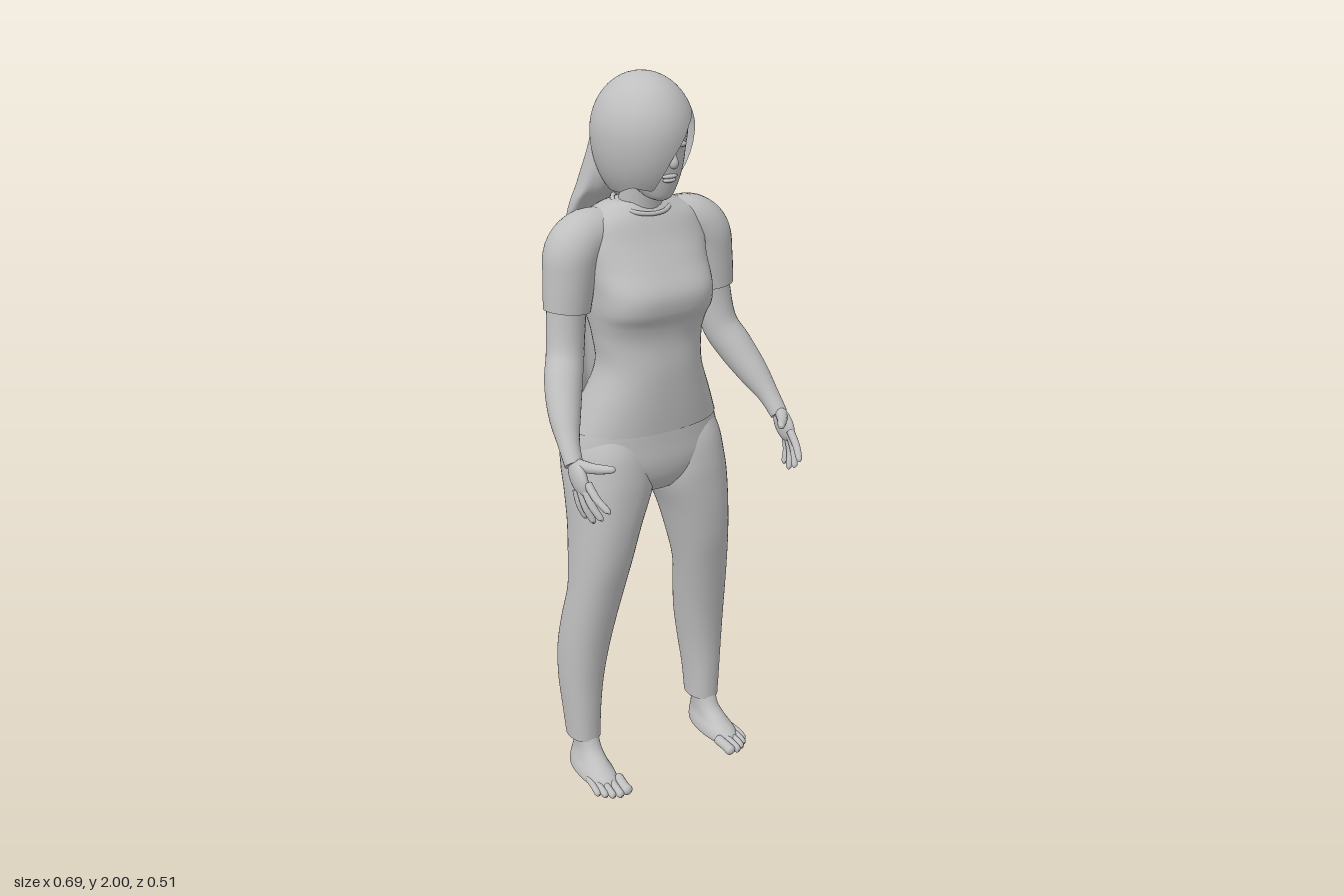
import * as THREE from 'three';

const grey = new THREE.MeshStandardMaterial({ color: 0xbfbfbf, side: THREE.DoubleSide });
grey.name = 'plainGrey';

// Skin over closed rings of points, with a flat cap on each end if wanted
function skin(rows, capped = true) {
  const n = rows[0].length, pos = [], index = [];
  rows.forEach(r => r.forEach(p => pos.push(p.x, p.y, p.z)));
  for (let i = 0; i < rows.length - 1; i++) {
    for (let j = 0; j < n; j++) {
      const k = (j + 1) % n, a = i * n + j, b = i * n + k;
      index.push(a, b, b + n, a, b + n, a + n);
    }
  }
  if (capped) {
    [rows[0], rows[rows.length - 1]].forEach((row, end) => {
      const base = pos.length / 3;
      const mid = row.reduce((s, p) => s.add(p), new THREE.Vector3()).divideScalar(n);
      row.forEach(p => pos.push(p.x, p.y, p.z));
      pos.push(mid.x, mid.y, mid.z);
      for (let j = 0; j < n; j++) {
        const a = base + j, b = base + (j + 1) % n;
        if (end) index.push(a, b, base + n); else index.push(b, a, base + n);
      }
    });
  }
  const g = new THREE.BufferGeometry();
  g.setAttribute('position', new THREE.Float32BufferAttribute(pos, 3));
  g.setIndex(index);
  g.computeVertexNormals();
  return g;
}

// Smooth blend through key rows of numbers
function blend(keys, steps) {
  const out = [], last = keys.length - 1;
  for (let i = 0; i < last; i++) {
    for (let s = 0; s < steps; s++) {
      const t = s / steps;
      out.push(keys[i].map((b, c) => {
        const a = keys[Math.max(i - 1, 0)][c], d = keys[i + 1][c], e = keys[Math.min(i + 2, last)][c];
        return b + 0.5 * t * (d - a + t * (2 * a - 5 * b + 4 * d - e + t * (3 * (b - d) + e - a)));
      }));
    }
  }
  out.push(keys[last]);
  return out;
}

// Level sections, bottom to top: [y, xMin, xMax, zFront, zBack, squareness]
function loft(keys, n = 48, steps = 5) {
  const pow = (v, e) => Math.sign(v) * Math.abs(v) ** e;
  return skin(blend(keys, steps).map(([y, x0, x1, zf, zb, p]) =>
    Array.from({ length: n }, (_, j) => {
      const a = j / n * Math.PI * 2;
      return new THREE.Vector3(
        (x0 + x1) / 2 + (x1 - x0) / 2 * pow(Math.sin(a), 2 / p), y,
        (zf + zb) / 2 + (zf - zb) / 2 * pow(Math.cos(a), 2 / p));
    })));
}

// Symmetric section: [y, halfWidth, zFront, zBack, squareness]
const even = keys => keys.map(([y, r, zf, zb, p = 2.3]) => [y, -r, r, zf, zb, p]);
// Side section: [y, xInner, xOuter, zFront, zBack, squareness]
const sided = (keys, s) => keys.map(([y, a, b, zf, zb, p = 2.2]) =>
  [y, Math.min(a * s, b * s), Math.max(a * s, b * s), zf, zb, p]);

// Round limb through points [x, y, z, radius]
function limb(keys, s = 1, n = 24, steps = 6) {
  const rows = blend(keys.map(([x, y, z, r]) => [x * s, y, z, r]), steps);
  const pts = rows.map(r => new THREE.Vector3(r[0], r[1], r[2]));
  const side = new THREE.Vector3(1, 0, 0);
  return skin(pts.map((p, i) => {
    const t = pts[Math.min(i + 1, pts.length - 1)].clone().sub(pts[Math.max(i - 1, 0)]).normalize();
    const u = side.clone().addScaledVector(t, -side.dot(t)).normalize();
    const v = t.clone().cross(u);
    return Array.from({ length: n }, (_, j) => {
      const a = j / n * Math.PI * 2, r = rows[i][3];
      return p.clone().addScaledVector(u, r * Math.cos(a)).addScaledVector(v, r * Math.sin(a));
    });
  }));
}

// Hair cap whose lower edge follows a swept fringe: [degrees from front toward left, edge height]
function hairCap() {
  const edge = [[-180, 1.7], [-75, 1.71], [-50, 1.73], [-20, 1.72], [0, 1.81], [25, 1.88],
    [48, 1.91], [62, 1.86], [78, 1.74], [92, 1.7], [180, 1.7]];
  const n = 96, m = 24;
  const rows = Array.from({ length: m + 1 }, (_, i) => Array.from({ length: n }, (_, j) => {
    const deg = -180 + 360 * j / n;
    const k = edge.findIndex(e => e[0] > deg), [d0, y0] = edge[k - 1], [d1, y1] = edge[k];
    const low = y0 + (y1 - y0) * (deg - d0) / (d1 - d0) - 1.85;
    const th = Math.acos(low / (low > 0 ? 0.15 : 0.19)) * (1 - i / m);
    const c = Math.cos(th), r = Math.sin(th), a = deg * Math.PI / 180;
    return new THREE.Vector3(-0.01 + 0.128 * r * Math.sin(a), 1.85 + c * (c > 0 ? 0.15 : 0.19),
      -0.05 + 0.147 * r * Math.cos(a));
  }));
  return skin(rows, false);
}

export function createModel() {
  const model = new THREE.Group();
  model.name = 'standingFigure';
  const add = (name, geo) => {
    const mesh = new THREE.Mesh(geo, grey);
    mesh.name = name;
    model.add(mesh);
    return mesh;
  };
  const blob = (name, p, r) => {
    const m = add(name, new THREE.SphereGeometry(1, 24, 16));
    m.position.set(...p);
    m.scale.set(...r);
    return m;
  };

  // Shirt body and collar
  add('shirt', loft(even([
    [1.07, 0.214, 0.066, -0.217], [1.14, 0.185, 0.071, -0.187], [1.24, 0.147, 0.074, -0.156],
    [1.32, 0.15, 0.07, -0.165], [1.37, 0.157, 0.077, -0.176, 2.6], [1.41, 0.163, 0.092, -0.187, 3],
    [1.46, 0.166, 0.092, -0.195, 2.9], [1.52, 0.174, 0.058, -0.2, 2.5], [1.58, 0.186, 0.022, -0.198],
    [1.63, 0.168, -0.003, -0.184], [1.66, 0.12, -0.02, -0.165, 2], [1.675, 0.078, -0.03, -0.14, 2]])));
  const collar = add('collar', new THREE.TorusGeometry(0.074, 0.006, 10, 48));
  collar.position.set(0, 1.667, -0.075);
  collar.rotation.x = Math.PI / 2 + 0.25;

  // Trouser seat
  add('hips', loft(even([
    [0.89, 0.08, 0.03, -0.12], [0.93, 0.16, 0.056, -0.165], [0.98, 0.218, 0.066, -0.198],
    [1.04, 0.218, 0.064, -0.208], [1.1, 0.198, 0.062, -0.195]])));

  // Neck, head and face
  add('neck', limb([[0, 1.6, -0.09, 0.064], [0, 1.67, -0.075, 0.058], [0, 1.76, -0.055, 0.056]]));
  add('head', loft(even([
    [1.69, 0.018, 0.035, -0.01, 2], [1.7, 0.036, 0.048, -0.04, 2], [1.73, 0.055, 0.058, -0.09, 2.2],
    [1.77, 0.073, 0.064, -0.13], [1.82, 0.085, 0.067, -0.15], [1.88, 0.088, 0.074, -0.155],
    [1.93, 0.07, 0.05, -0.13], [1.96, 0.03, 0, -0.09]])));
  add('nose', limb([[0, 1.84, 0.066, 0.007], [0, 1.81, 0.074, 0.01], [0, 1.79, 0.079, 0.013], [0, 1.782, 0.074, 0.007]], 1, 16));
  blob('upperLip', [0, 1.756, 0.061], [0.023, 0.006, 0.01]);
  blob('lowerLip', [0, 1.746, 0.06], [0.019, 0.006, 0.01]);

  // Hair: cap, long back sheet and ponytail
  add('hairCap', hairCap());
  const sheet = loft(even([
    [1.11, 0.132, -0.194, -0.214, 4], [1.2, 0.138, -0.183, -0.206, 4], [1.35, 0.144, -0.183, -0.208, 4],
    [1.5, 0.15, -0.187, -0.213, 4], [1.6, 0.153, -0.18, -0.215, 4], [1.66, 0.148, -0.145, -0.212, 3.5],
    [1.71, 0.135, -0.1, -0.206, 3], [1.79, 0.118, -0.065, -0.196, 2.4], [1.87, 0.1, -0.08, -0.188, 2.2]]), 96);
  const sp = sheet.attributes.position;
  // Ripple the sheet into locks with a ragged lower edge
  for (let i = 0; i < sp.count; i++) {
    const x = sp.getX(i), y = sp.getY(i);
    sp.setZ(i, sp.getZ(i) + 0.003 * Math.sin(x * 110 + y * 3));
    if (y < 1.16) sp.setY(i, y + 0.012 * Math.sin(x * 170));
  }
  sheet.computeVertexNormals();
  add('longHair', sheet);
  add('ponytail', limb([[-0.01, 1.89, -0.175, 0.018], [-0.008, 1.83, -0.2, 0.028], [-0.004, 1.74, -0.217, 0.033],
    [0, 1.65, -0.226, 0.026], [0, 1.56, -0.232, 0.003]]));

  for (const s of [1, -1]) {
    const side = s > 0 ? 'left' : 'right';
    blob(side + 'Eye', [0.035 * s, 1.832, 0.058], [0.016, 0.008, 0.01]);

    // Sleeve, arm and hand
    add(side + 'Sleeve', limb([[0.1, 1.6, -0.095, 0.06], [0.16, 1.592, -0.09, 0.07], [0.2, 1.555, -0.085, 0.074],
      [0.214, 1.49, -0.08, 0.068], [0.224, 1.41, -0.077, 0.062]], s, 32));
    add(side + 'Arm', limb([[0.212, 1.5, -0.08, 0.055], [0.226, 1.4, -0.078, 0.052], [0.242, 1.3, -0.06, 0.05],
      [0.27, 1.235, -0.022, 0.05], [0.297, 1.17, 0.03, 0.042], [0.315, 1.115, 0.08, 0.029], [0.323, 1.07, 0.12, 0.024]], s));
    const palm = blob(side + 'Palm', [0.324 * s, 1.045, 0.143], [0.017, 0.052, 0.036]);
    palm.rotation.x = -Math.PI / 4;
    // Knuckle and tip of each finger
    [[0.318, 1.04, 0.18, 0.3, 0.98, 0.25], [0.323, 1.025, 0.173, 0.306, 0.951, 0.224],
      [0.327, 1.015, 0.16, 0.311, 0.934, 0.194], [0.33, 1.013, 0.143, 0.317, 0.938, 0.165]].forEach(([x, y, z, u, v, w], i) =>
      add(side + 'Finger' + (i + 1), limb([[x, y, z, 0.011], [(x + u) / 2 + 0.004, (y + v) / 2, (z + w) / 2, 0.01],
        [u, v + 0.006, w - 0.004, 0.008], [u, v, w, 0.002]], s, 12)));
    add(side + 'Thumb', limb([[0.32, 1.075, 0.135, 0.017], [0.298, 1.073, 0.168, 0.014],
      [0.274, 1.075, 0.197, 0.011], [0.262, 1.078, 0.212, 0.008], [0.258, 1.079, 0.216, 0.002]], s, 14));

    // Trouser leg, from ankle to seat
    add(side + 'Leg', loft(sided([
      [0.11, 0.162, 0.254, -0.016, -0.13], [0.2, 0.157, 0.26, -0.014, -0.143], [0.3, 0.145, 0.266, -0.01, -0.158],
      [0.4, 0.13, 0.266, 0.002, -0.16], [0.5, 0.115, 0.26, 0.02, -0.143], [0.6, 0.098, 0.251, 0.04, -0.122],
      [0.7, 0.075, 0.245, 0.06, -0.135], [0.8, 0.046, 0.241, 0.07, -0.152], [0.89, 0.008, 0.24, 0.071, -0.178],
      [0.95, -0.002, 0.235, 0.068, -0.209], [1.02, 0, 0.224, 0.056, -0.226], [1.08, 0.02, 0.196, 0.03, -0.2]], s)));

    // Bare foot and toes
    add(side + 'Foot', loft(sided([
      [0, 0.172, 0.246, 0.085, -0.105], [0.012, 0.163, 0.26, 0.098, -0.115], [0.032, 0.165, 0.257, 0.085, -0.117],
      [0.055, 0.173, 0.247, 0.045, -0.113], [0.085, 0.175, 0.24, 0.002, -0.106], [0.13, 0.173, 0.243, -0.022, -0.114]], s)));
    [[0.18, 0.14, 0.015], [0.204, 0.14, 0.011], [0.224, 0.13, 0.01], [0.241, 0.116, 0.0095], [0.255, 0.098, 0.009]].forEach(([x, z, r], i) =>
      add(side + 'Toe' + (i + 1), limb([[x - 0.004, 0.022, z - 0.07, r], [x, 0.018, z - 0.03, r],
        [x, r + 0.001, z - 0.008, r], [x, r, z, r * 0.3]], s, 14)));
  }
  return model;
}
